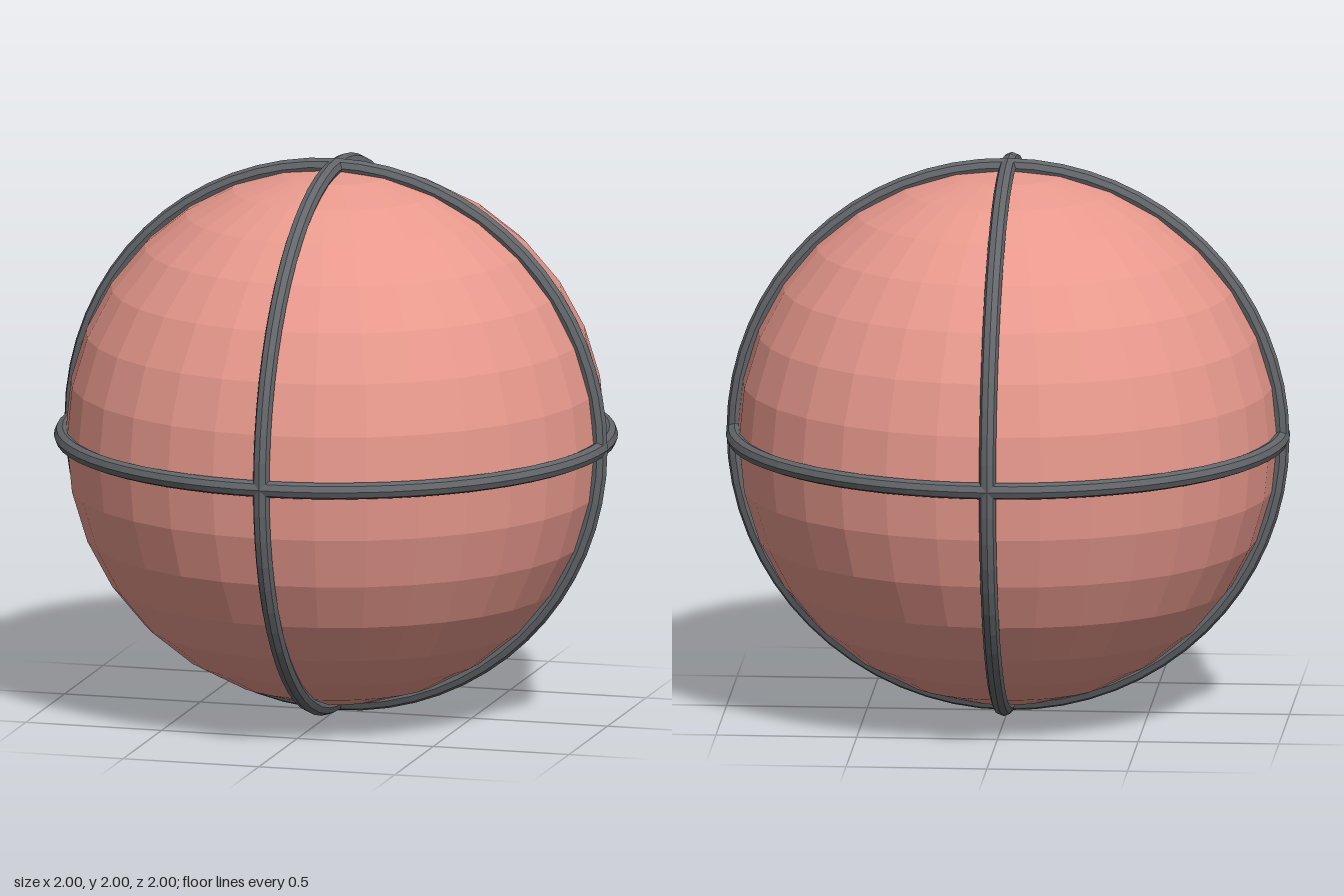
import * as THREE from 'three';

export function createModel() {
  const group = new THREE.Group();
  const add = (name, geometry, material) => {
    const mesh = new THREE.Mesh(geometry, material);
    mesh.name = name;
    mesh.position.y = 1;
    group.add(mesh);
    return mesh;
  };

  // Faceted ball
  const ballMaterial = new THREE.MeshStandardMaterial({ color: 0xe8998d, flatShading: true });
  add('ball', new THREE.SphereGeometry(0.96, 32, 16), ballMaterial);

  // Three great-circle bands, one in each principal plane
  const bandMaterial = new THREE.MeshStandardMaterial({ color: 0x63666a, flatShading: true });
  const bandGeometry = new THREE.TorusGeometry(0.97, 0.03, 8, 64);
  add('frontBand', bandGeometry, bandMaterial);
  add('sideBand', bandGeometry, bandMaterial).rotation.y = Math.PI / 2;
  add('equatorBand', bandGeometry, bandMaterial).rotation.x = Math.PI / 2;

  return group;
}
